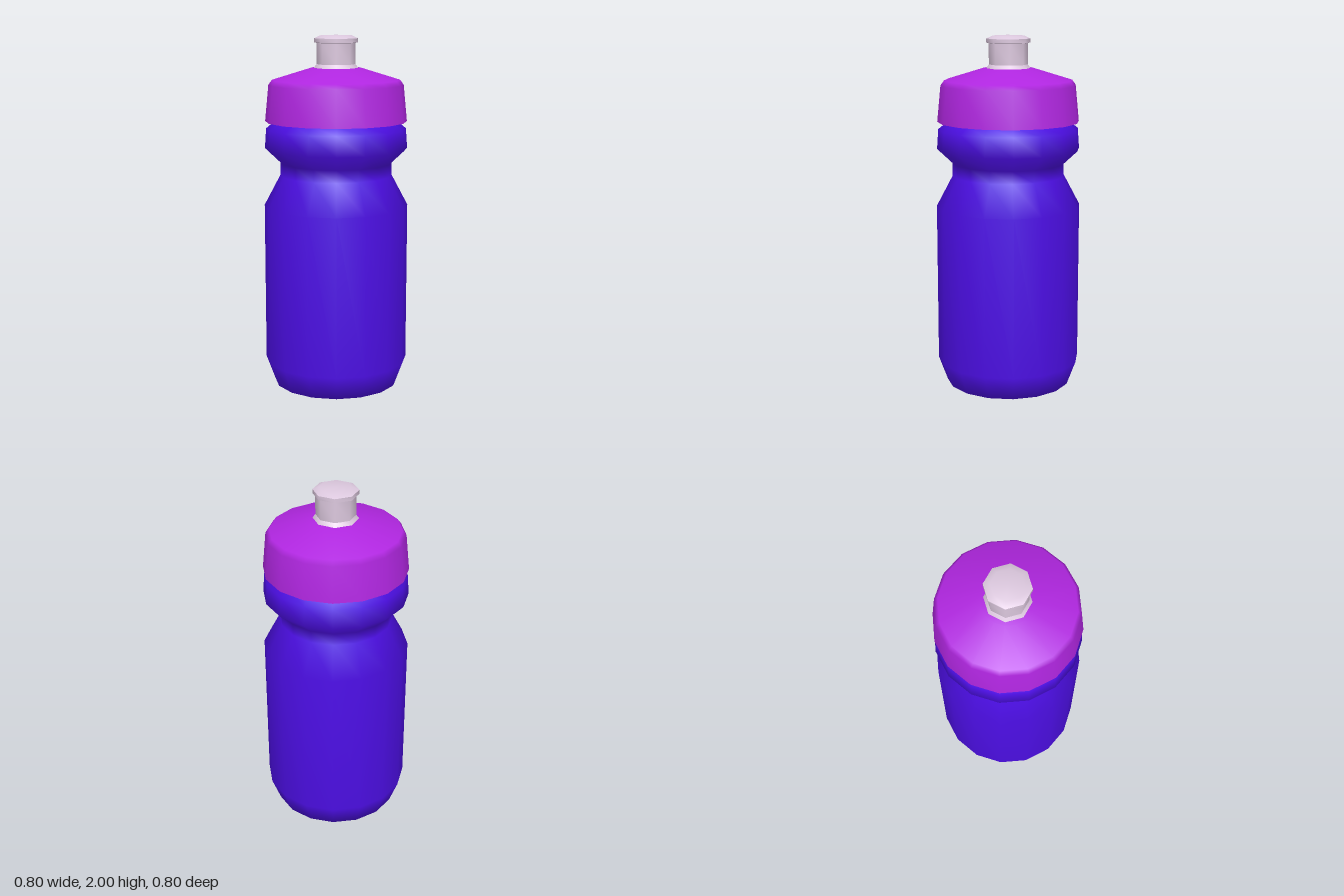
import * as THREE from 'three';
import { mergeVertices } from 'three/addons/utils/BufferGeometryUtils.js';

// Smooth surface of revolution; profile runs bottom to top as [radius, y]
function turned(name, profile, sides, material) {
  const lathe = new THREE.LatheGeometry(profile.map(([r, y]) => new THREE.Vector2(r, y)), sides);
  lathe.deleteAttribute('uv');
  lathe.deleteAttribute('normal');
  const geometry = mergeVertices(lathe, 1e-4);
  geometry.computeVertexNormals();
  const mesh = new THREE.Mesh(geometry, material);
  mesh.name = name;
  return mesh;
}

export function createModel() {
  const blue = new THREE.MeshStandardMaterial({ name: 'bottle blue', color: 0x4c0ee4 });
  const purple = new THREE.MeshStandardMaterial({ name: 'cap purple', color: 0xb026e0 });
  const pale = new THREE.MeshStandardMaterial({ name: 'spout pale pink', color: 0xdcc8de });

  const bottle = new THREE.Group();
  bottle.name = 'sportsBottle';

  // Squeezable body with a grip waist and a neck hidden in the cap
  bottle.add(turned('body', [
    [0, 0], [0.23, 0.005], [0.35, 0.04], [0.4, 0.175], [0.4, 1.06],
    [0.31, 1.23], [0.31, 1.3], [0.395, 1.38], [0.387, 1.49], [0.335, 1.532],
  ], 16, blue));

  // Screw cap: outer shell and the flat ring beneath it
  const cap = new THREE.Group();
  cap.name = 'cap';
  cap.add(
    turned('capShell', [[0.392, 1.53], [0.372, 1.73], [0.352, 1.757], [0.14, 1.822], [0, 1.822]], 16, purple),
    turned('capUnderside', [[0.3, 1.53], [0.392, 1.53]], 16, purple),
  );
  bottle.add(cap);

  // Pull-up spout: flared foot, stem, and a wider bevelled head
  const spout = new THREE.Group();
  spout.name = 'spout';
  spout.add(
    turned('spoutFoot', [[0.125, 1.818], [0.107, 1.842]], 8, pale),
    turned('spoutStem', [[0.107, 1.842], [0.107, 1.957]], 8, pale),
    turned('spoutHeadUnderside', [[0.107, 1.957], [0.121, 1.96]], 8, pale),
    turned('spoutHeadRim', [[0.121, 1.96], [0.121, 1.982]], 8, pale),
    turned('spoutHeadTop', [[0.121, 1.982], [0.085, 1.998], [0, 2]], 8, pale),
  );
  bottle.add(spout);

  return bottle;
}
